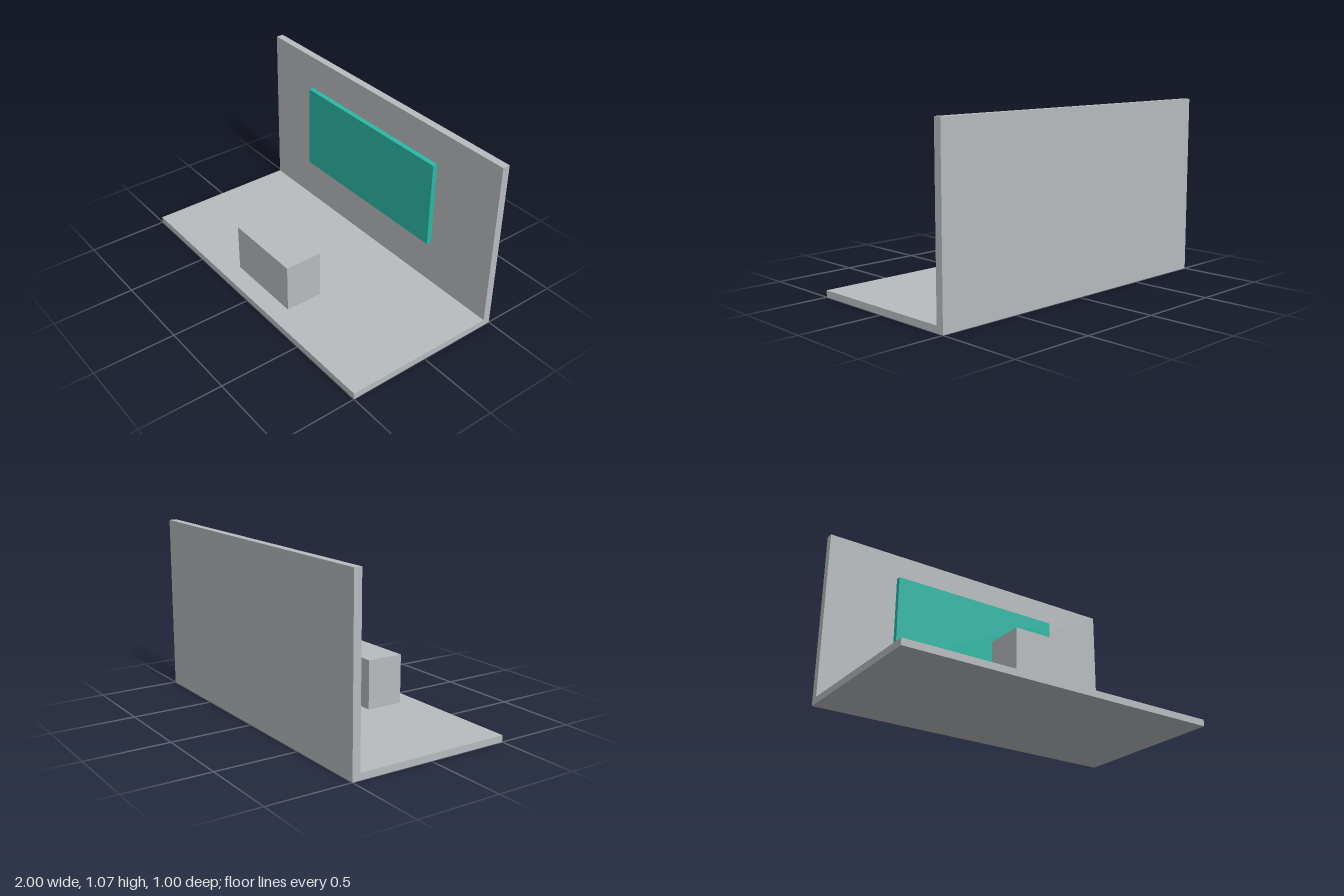
import * as THREE from 'three';

const paleGrey = new THREE.MeshStandardMaterial({ name: 'paleGrey', color: 0xb8bcbf });
const teal = new THREE.MeshStandardMaterial({ name: 'teal', color: 0x2bb8a6 });
const slateBlue = new THREE.MeshStandardMaterial({ name: 'slateBlue', color: 0x355872 });

// Box given by its [min, max] extent on each axis
function block(name, material, [x0, x1], [y0, y1], [z0, z1]) {
  const mesh = new THREE.Mesh(new THREE.BoxGeometry(x1 - x0, y1 - y0, z1 - z0), material);
  mesh.position.set((x0 + x1) / 2, (y0 + y1) / 2, (z0 + z1) / 2);
  mesh.name = name;
  return mesh;
}

export function createModel() {
  const model = new THREE.Group();
  model.name = 'displayStand';

  // Floor and back wall: one L-shaped profile swept across the width
  const profile = new THREE.Shape([
    [-0.5, 0], [0.5, 0], [0.5, 1.067], [0.453, 1.067], [0.453, 0.04], [-0.5, 0.04],
  ].map(([depth, y]) => new THREE.Vector2(depth, y)));
  const shellGeometry = new THREE.ExtrudeGeometry(profile, { depth: 2, bevelEnabled: false });
  shellGeometry.translate(0, 0, -1).rotateY(Math.PI / 2);
  const shell = new THREE.Mesh(shellGeometry, paleGrey);
  shell.name = 'floorAndBackWall';
  model.add(shell);

  // Counter standing on the floor
  model.add(block('counter', paleGrey, [-0.25, 0.25], [0.04, 0.34], [0.15, 0.383]));

  // Wall panel with a smaller backing, held just off the wall
  model.add(block('panel', teal, [-0.565, 0.565], [0.352, 0.886], [-0.42, -0.388]));
  model.add(block('panelBacking', slateBlue, [-0.545, 0.545], [0.38, 0.857], [-0.44, -0.42]));

  return model;
}
